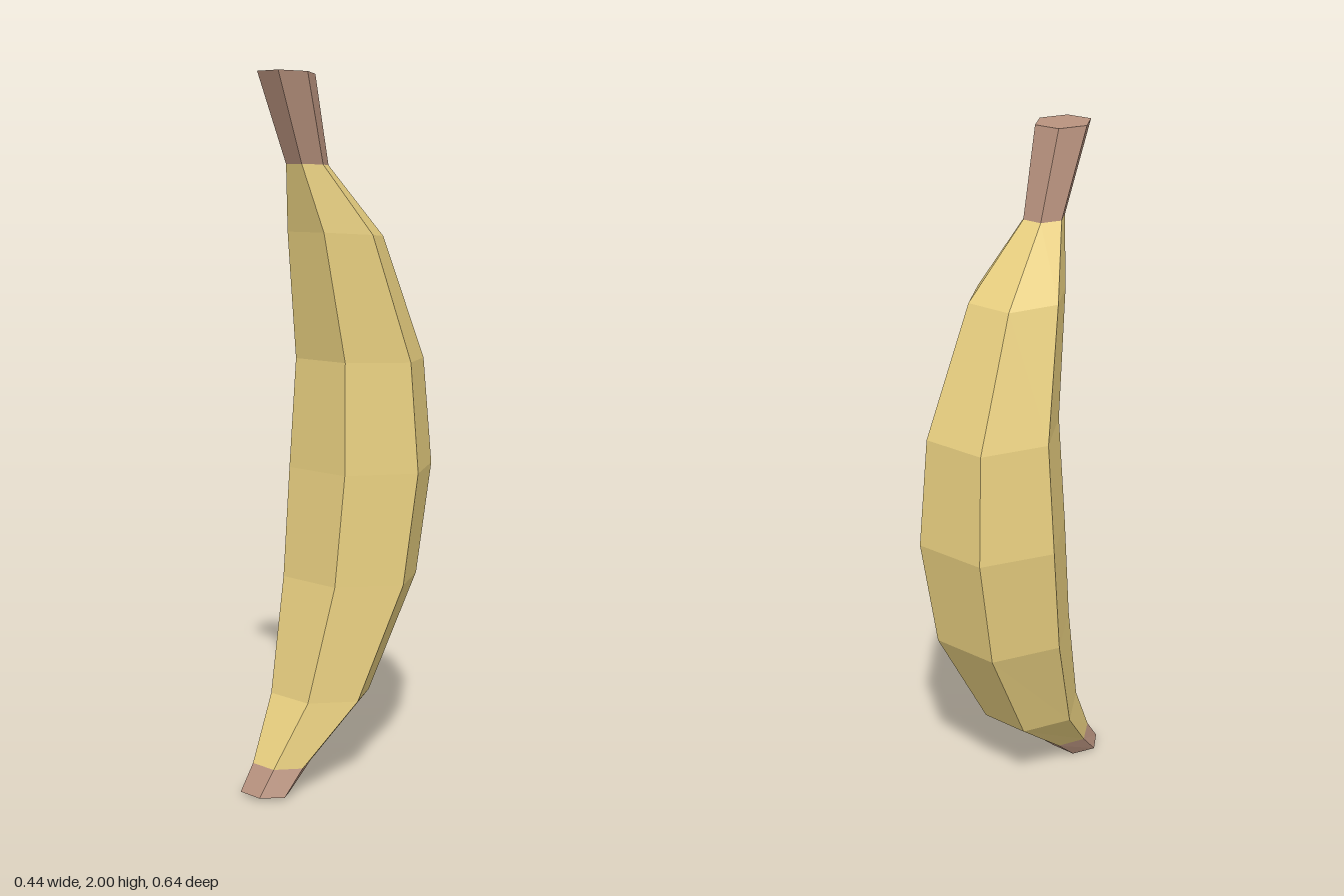
import * as THREE from 'three';

// Six-sided sections from bottom to top: [front y, front z, back y, back z, half width]
const SECTIONS = [
  [0.01, 0.322, 0.0, 0.2, 0.076],
  [0.08, 0.27, 0.07, 0.122, 0.083],
  [0.255, 0.165, 0.24, -0.09, 0.147],
  [0.58, 0.085, 0.565, -0.265, 0.204],
  [0.895, 0.052, 0.888, -0.322, 0.218],
  [1.21, 0.037, 1.2, -0.298, 0.192],
  [1.57, 0.095, 1.555, -0.148, 0.14],
  [1.755, 0.14, 1.752, 0.035, 0.06],
  [2.0, 0.238, 1.995, 0.097, 0.08],
];
const SIDES = 6;

// Corners of one section, starting at +x and going towards the front
function ring([frontY, frontZ, backY, backZ, w]) {
  const front = new THREE.Vector3(0, frontY, frontZ);
  const back = new THREE.Vector3(0, backY, backZ);
  return Array.from({ length: SIDES }, (_, i) => {
    const a = (i / SIDES) * Math.PI * 2;
    const t = 0.5 + Math.sin(a) / Math.sqrt(3);
    const p = back.clone().lerp(front, t);
    p.x = w * Math.cos(a);
    return p;
  });
}

// Skin between consecutive sections, optionally closed at either end
function loft(name, sections, color, capBottom, capTop) {
  const rings = sections.map(ring);
  const pts = [];
  for (let r = 0; r < rings.length - 1; r++) {
    for (let i = 0; i < SIDES; i++) {
      const j = (i + 1) % SIDES;
      const a = rings[r][i], b = rings[r][j];
      const c = rings[r + 1][j], d = rings[r + 1][i];
      pts.push(a, d, c, a, c, b);
    }
  }
  const first = rings[0], last = rings[rings.length - 1];
  for (let i = 1; i < SIDES - 1; i++) {
    if (capBottom) pts.push(first[0], first[i], first[i + 1]);
    if (capTop) pts.push(last[0], last[i + 1], last[i]);
  }
  const geometry = new THREE.BufferGeometry().setFromPoints(pts);
  geometry.computeVertexNormals();
  const material = new THREE.MeshStandardMaterial({ color, flatShading: true });
  const mesh = new THREE.Mesh(geometry, material);
  mesh.name = name;
  return mesh;
}

export function createModel() {
  const group = new THREE.Group();
  group.name = 'banana';
  const yellow = 0xe8cf80, brown = 0xb8927e;
  group.add(
    loft('tip', SECTIONS.slice(0, 2), brown, true, false),
    loft('peel', SECTIONS.slice(1, 8), yellow, false, false),
    loft('stem', SECTIONS.slice(7), brown, false, true),
  );
  return group;
}
